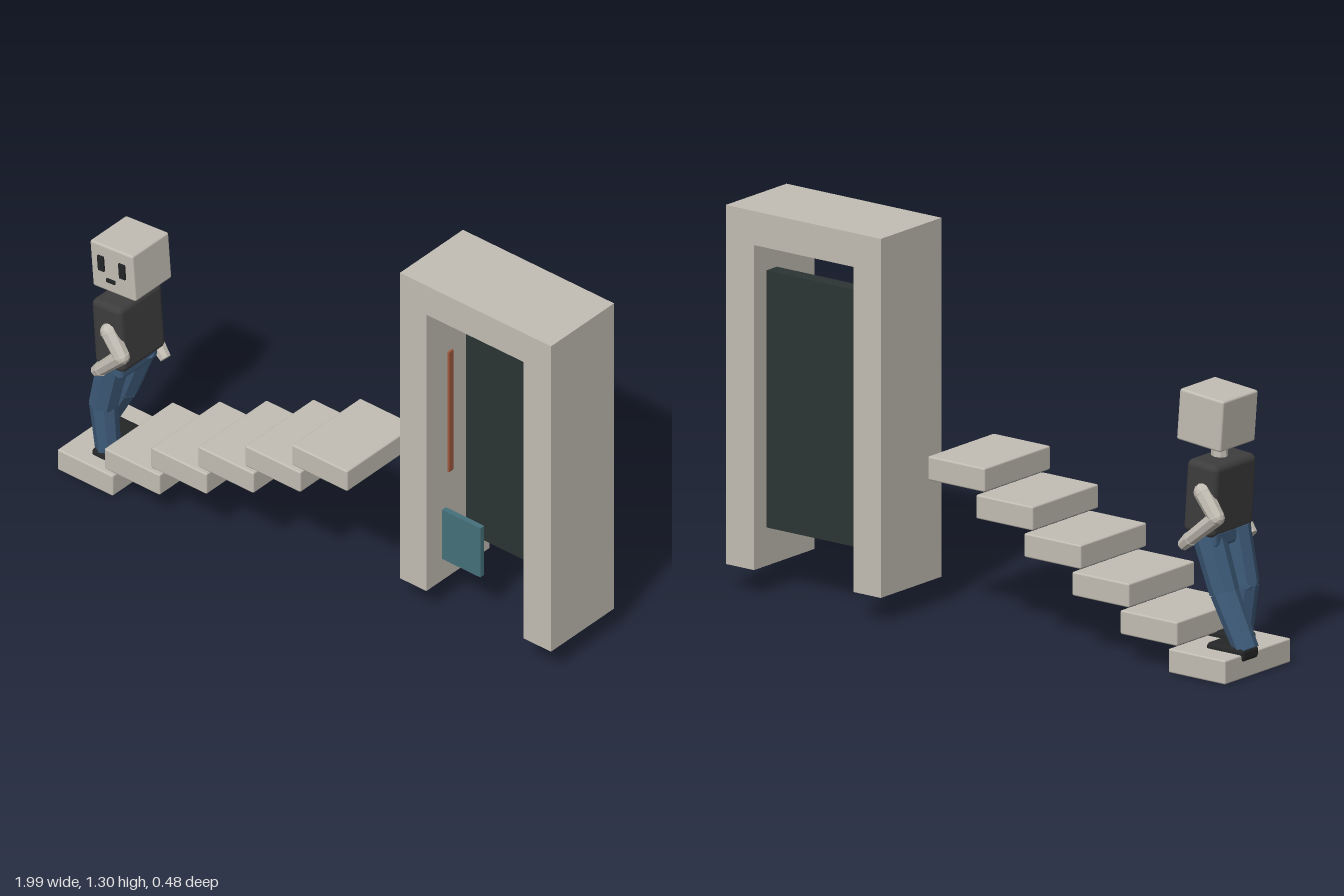
import * as THREE from 'three';
import { RoundedBoxGeometry } from 'three/addons/geometries/RoundedBoxGeometry.js';

const paint = (name, color) => {
  const m = new THREE.MeshStandardMaterial({ color });
  m.name = name;
  return m;
};

export function createModel() {
  const stone = paint('stone', 0xc2bdb3);
  const shirt = paint('charcoal', 0x3e3d3d);
  const denim = paint('denim', 0x3d5a78);
  const doorGreen = paint('dark green', 0x2b3533);
  const teal = paint('teal', 0x44707a);
  const copper = paint('copper', 0xa0583c);
  const black = paint('black', 0x242526);

  const model = new THREE.Group();
  model.name = 'stairwayScene';

  const group = (name, parent = model) => {
    const g = new THREE.Group();
    g.name = name;
    parent.add(g);
    return g;
  };
  const add = (parent, name, geometry, material, x = 0, y = 0, z = 0) => {
    const mesh = new THREE.Mesh(geometry, material);
    mesh.name = name;
    mesh.position.set(x, y, z);
    parent.add(mesh);
    return mesh;
  };
  const faceted = (geometry) => {
    const g = geometry.toNonIndexed();
    g.computeVertexNormals();
    return g;
  };
  // Tapered eight-sided limb between two points
  const limb = (parent, name, from, to, r0, r1, material) => {
    const a = new THREE.Vector3(...from);
    const b = new THREE.Vector3(...to);
    const dir = b.clone().sub(a);
    const geo = faceted(new THREE.CylinderGeometry(r1, r0, dir.length(), 8));
    const mesh = add(parent, name, geo, material);
    mesh.position.copy(a).add(b).multiplyScalar(0.5);
    mesh.quaternion.setFromUnitVectors(new THREE.Vector3(0, 1, 0), dir.normalize());
    return mesh;
  };
  const joint = (parent, name, p, r, material) =>
    add(parent, name, faceted(new THREE.IcosahedronGeometry(r, 1)), material, ...p);

  // Six floating steps
  const stairs = group('stairs');
  const stepGeo = new RoundedBoxGeometry(0.236, 0.081, 0.346, 2, 0.006);
  for (let i = 0; i < 6; i++) {
    add(stairs, 'step', stepGeo, stone, -0.853 + i * 0.1995, 0.044 + i * 0.0945, 0.0635);
  }

  // Door frame: one upside-down U, extruded
  const doorway = group('doorway');
  const outline = [[0.354, 0.09], [0.467, 0.09], [0.467, 1.19], [0.88, 1.19],
    [0.88, 0.09], [0.997, 0.09], [0.997, 1.305], [0.354, 1.305]];
  const frameShape = new THREE.Shape(outline.map(([x, y]) => new THREE.Vector2(x, y)));
  add(doorway, 'doorFrame',
    new THREE.ExtrudeGeometry(frameShape, { depth: 0.318, bevelEnabled: false }),
    stone, 0, 0, -0.239);

  // Door panel, low plate and handle rail
  add(doorway, 'doorPanel', new THREE.BoxGeometry(0.414, 0.87, 0.055), doorGreen, 0.673, 0.655, -0.147);
  add(doorway, 'lowPlate', new THREE.BoxGeometry(0.163, 0.195, 0.02), teal, 0.548, 0.273, -0.01);
  add(doorway, 'handleRail', new RoundedBoxGeometry(0.012, 0.48, 0.024, 2, 0.004), copper, 0.467, 0.745, -0.04);

  // Walking figure
  const figure = group('figure');

  // Head with face plates
  const head = group('head', figure);
  head.position.set(-0.788, 0.843, 0.082);
  head.rotation.z = 0.08;
  add(head, 'skull', new RoundedBoxGeometry(0.183, 0.175, 0.185, 2, 0.008), stone);
  for (const side of [-1, 1]) {
    add(head, 'eye', new THREE.BoxGeometry(0.025, 0.055, 0.009), black, side * 0.045, 0.016, 0.095);
  }
  add(head, 'mouth', new THREE.BoxGeometry(0.036, 0.013, 0.009), black, -0.008, -0.041, 0.094);

  // Neck, torso and hips
  limb(figure, 'neck', [-0.80, 0.69, 0.08], [-0.795, 0.77, 0.08], 0.028, 0.028, stone);
  const torso = add(figure, 'torso', new RoundedBoxGeometry(0.128, 0.25, 0.22, 3, 0.022),
    shirt, -0.8, 0.583, 0.08);
  torso.rotation.z = 0.07;
  add(figure, 'hips', new RoundedBoxGeometry(0.105, 0.06, 0.19, 2, 0.015), denim, -0.803, 0.448, 0.08);

  // Arms: [shoulder, elbow, wrist, hand]
  const arms = {
    leadingArm: [[-0.79, 0.61, 0.188], [-0.732, 0.54, 0.195], [-0.825, 0.447, 0.188], [-0.85, 0.425, 0.185]],
    trailingArm: [[-0.815, 0.61, -0.028], [-0.877, 0.535, -0.035], [-0.765, 0.445, -0.03], [-0.73, 0.415, -0.025]],
  };
  for (const [name, [shoulder, elbow, wrist, hand]] of Object.entries(arms)) {
    const arm = group(name, figure);
    joint(arm, 'shoulder', shoulder, 0.031, stone);
    limb(arm, 'upperArm', shoulder, elbow, 0.031, 0.028, stone);
    joint(arm, 'elbow', elbow, 0.028, stone);
    limb(arm, 'forearm', elbow, wrist, 0.028, 0.024, stone);
    limb(arm, 'hand', wrist, hand, 0.026, 0.02, stone);
  }

  // Legs: [hip, knee, ankle], shoe centre
  const legs = {
    leadingLeg: [[-0.815, 0.46, 0.135], [-0.857, 0.27, 0.137], [-0.836, 0.085, 0.138], [-0.797, 0.081]],
    trailingLeg: [[-0.795, 0.46, 0.025], [-0.865, 0.27, 0.022], [-0.958, 0.09, 0.02], [-0.9, 0.081]],
  };
  for (const [name, [hip, knee, ankle, shoe]] of Object.entries(legs)) {
    const leg = group(name, figure);
    limb(leg, 'thigh', hip, knee, 0.056, 0.05, denim);
    joint(leg, 'knee', knee, 0.047, denim);
    limb(leg, 'shin', knee, ankle, 0.048, 0.042, denim);
    add(leg, 'shoe', new RoundedBoxGeometry(0.155, 0.046, 0.092, 3, 0.016), black, shoe[0], shoe[1], ankle[2]);
  }

  return model;
}
